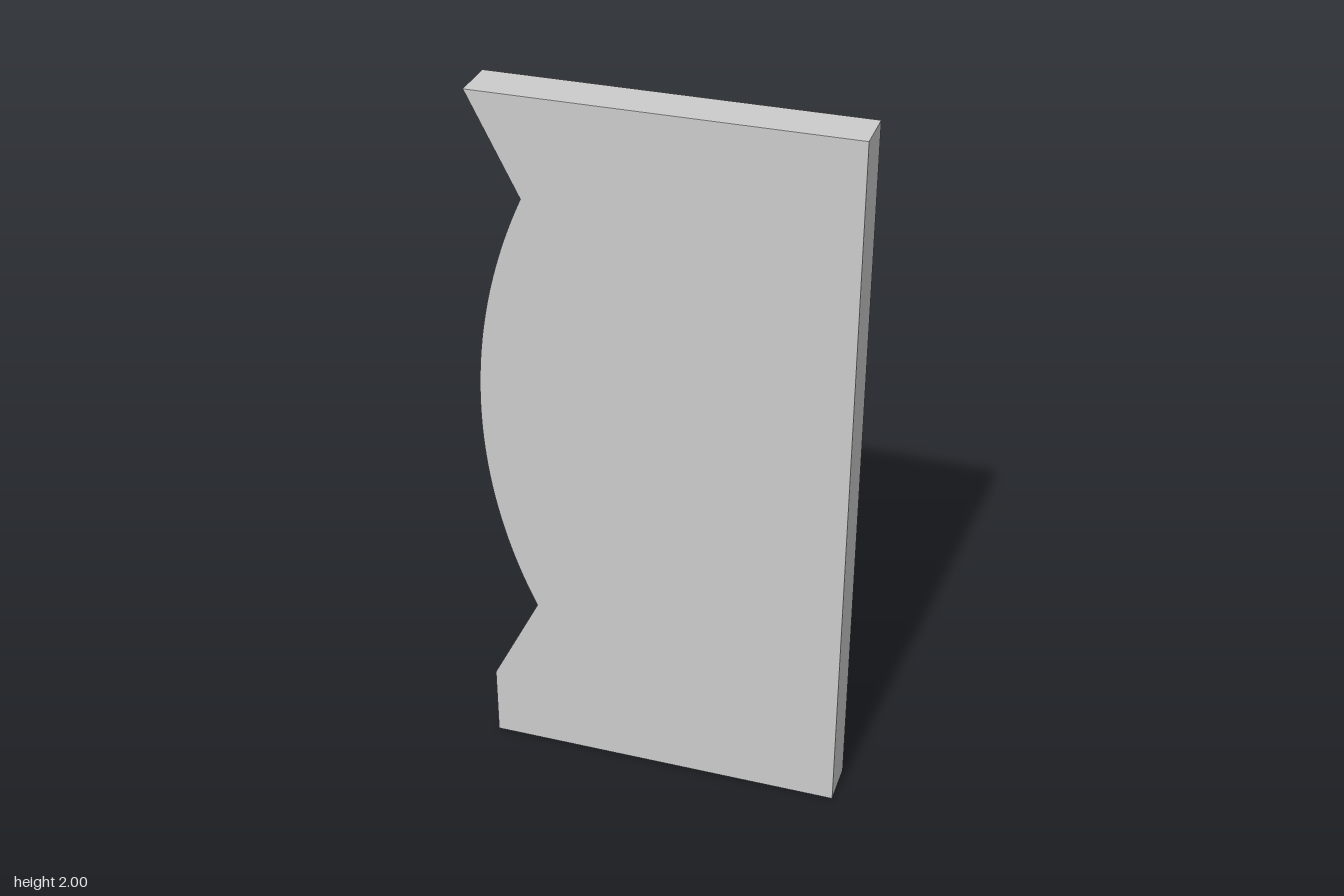
import * as THREE from 'three';
import { toCreasedNormals } from 'three/addons/utils/BufferGeometryUtils.js';

const DEPTH = 0.125;

export function createModel() {
  const group = new THREE.Group();
  group.name = 'profiledPanel';

  // Bowed edge: a shallow arc between the two notches
  const notchX = -0.363, lowNotch = 0.48, highNotch = 1.727;
  const half = (highNotch - lowNotch) / 2;
  const bulge = notchX + 0.5;
  const radius = (half * half + bulge * bulge) / (2 * bulge);
  const angle = Math.asin(half / radius);

  // Panel outline, counter-clockwise
  const outline = new THREE.Shape();
  outline.moveTo(-0.5, 0);
  outline.lineTo(0.5, 0);
  outline.lineTo(0.5, 2);
  outline.lineTo(-0.5, 2);
  outline.lineTo(notchX, highNotch);
  outline.absarc(-0.5 + radius, lowNotch + half, radius, Math.PI - angle, Math.PI + angle, false);
  outline.lineTo(-0.5, 0.21);
  outline.closePath();

  // Straight extrusion, smooth along the arc and sharp at the corners
  const geometry = new THREE.ExtrudeGeometry(outline, {
    depth: DEPTH, bevelEnabled: false, curveSegments: 40,
  });
  geometry.translate(0, 0, -DEPTH / 2);

  const panel = new THREE.Mesh(
    toCreasedNormals(geometry, Math.PI / 6),
    new THREE.MeshStandardMaterial({ color: 0xcccccc }),
  );
  panel.name = 'panel';
  group.add(panel);
  return group;
}
